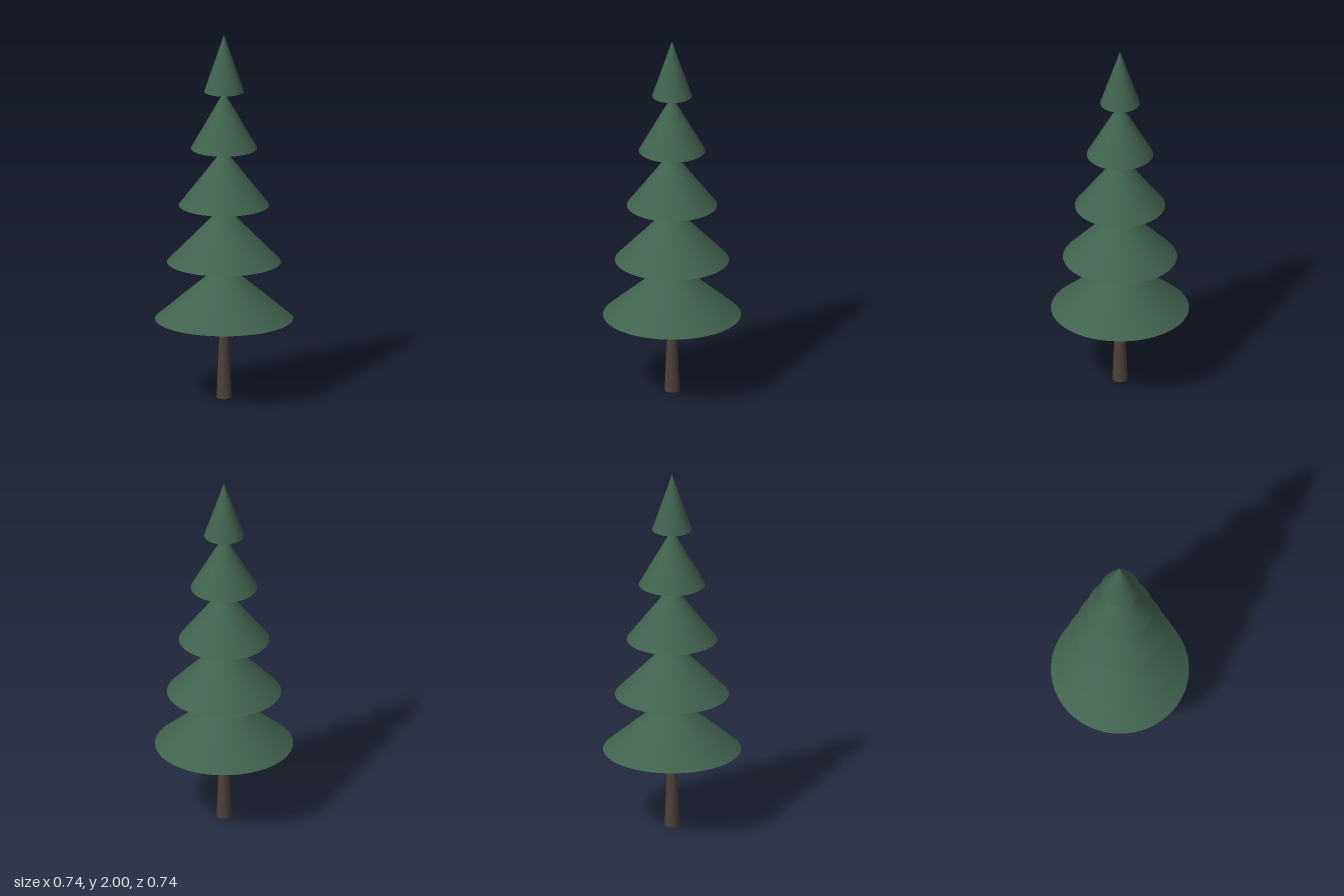
import * as THREE from 'three';

export function createModel() {
  const tree = new THREE.Group();
  tree.name = 'pineTree';

  const needles = new THREE.MeshStandardMaterial({ color: 0x40624f });
  needles.name = 'needleGreen';
  const bark = new THREE.MeshStandardMaterial({ color: 0x4b403b });
  bark.name = 'barkBrown';

  const firstTier = 0.435;
  const radii = [0.368, 0.304, 0.241, 0.177, 0.106];
  const tierHeight = (2 - firstTier) / radii.length;

  // Tapered trunk reaching the underside of the lowest tier
  const trunk = new THREE.Mesh(new THREE.CylinderGeometry(0.021, 0.041, firstTier, 32), bark);
  trunk.name = 'trunk';
  trunk.position.y = firstTier / 2;
  tree.add(trunk);

  // Stacked foliage cones, each resting on the tip of the one below
  radii.forEach((radius, i) => {
    const tier = new THREE.Mesh(new THREE.ConeGeometry(radius, tierHeight, 48), needles);
    tier.name = `foliageTier${i + 1}`;
    tier.position.y = firstTier + tierHeight * (i + 0.5);
    tree.add(tier);
  });

  return tree;
}
